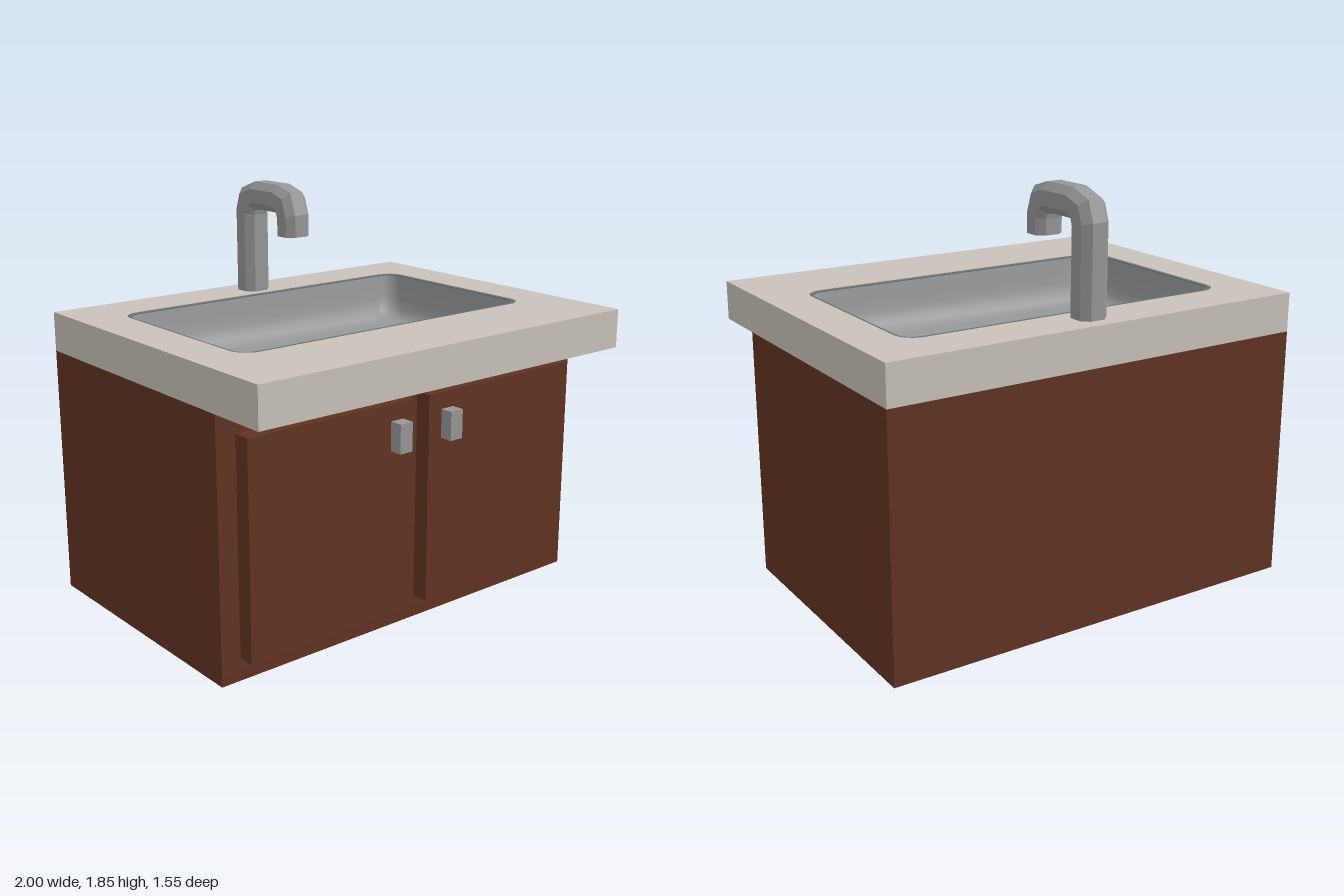
import * as THREE from 'three';

const mat = (name, color) => new THREE.MeshStandardMaterial({ name, color, side: THREE.DoubleSide });

// Counter-clockwise outline of a rectangle with rounded corners
function roundRect(hw, hd, r, cy = 0, seg = 6) {
  const pts = [];
  [[1, 1], [-1, 1], [-1, -1], [1, -1]].forEach(([sx, sy], c) => {
    for (let i = 0; i <= seg; i++) {
      const a = (c + i / seg) * Math.PI / 2;
      pts.push(new THREE.Vector2(sx * (hw - r) + r * Math.cos(a), cy + sy * (hd - r) + r * Math.sin(a)));
    }
  });
  return pts;
}

// Rectangle in x/z with a hole, extruded upwards from y
function slab(outline, hole, y, depth) {
  const shape = new THREE.Shape(outline);
  shape.holes.push(new THREE.Path(hole));
  return new THREE.ExtrudeGeometry(shape, { depth, bevelEnabled: false }).rotateX(-Math.PI / 2).translate(0, y, 0);
}

// Skin through equal-sized rings, closed at the last one
function loft(rings) {
  const n = rings[0].length, pos = [], idx = [];
  rings.forEach(r => r.forEach(p => pos.push(p.x, p.y, p.z)));
  for (let i = 0; i < rings.length - 1; i++) for (let j = 0; j < n; j++) {
    const a = i * n + j, b = i * n + (j + 1) % n;
    idx.push(a, b, a + n, a + n, b, b + n);
  }
  const last = rings[rings.length - 1];
  const c = last.reduce((s, p) => s.add(p), new THREE.Vector3()).divideScalar(n);
  pos.push(c.x, c.y, c.z);
  const base = (rings.length - 1) * n;
  for (let j = 0; j < n; j++) idx.push(rings.length * n, base + j, base + (j + 1) % n);
  const g = new THREE.BufferGeometry();
  g.setAttribute('position', new THREE.Float32BufferAttribute(pos, 3));
  g.setIndex(idx);
  g.computeVertexNormals();
  return g;
}

function faceted(g) {
  const f = g.toNonIndexed();
  f.computeVertexNormals();
  return f;
}

export function createModel() {
  const group = new THREE.Group();
  const wood = mat('brown wood', 0x613322);
  const stone = mat('pale stone', 0xc8c2b9);
  const steel = mat('grey steel', 0x979797);
  const dark = mat('dark steel', 0x6e6e6e);

  const add = (name, geometry, material) => {
    const m = new THREE.Mesh(geometry, material);
    m.name = name;
    group.add(m);
    return m;
  };
  const box = (name, material, x0, x1, y0, y1, z0, z1) =>
    add(name, new THREE.BoxGeometry(x1 - x0, y1 - y0, z1 - z0), material)
      .position.set((x0 + x1) / 2, (y0 + y1) / 2, (z0 + z1) / 2);
  const rect = (x, y0, y1) => [[-x, y0], [x, y0], [x, y1], [-x, y1]].map(p => new THREE.Vector2(...p));

  // Cabinet: floor and hollow walls leave room for the basin
  box('cabinetFloor', wood, -1, 1, 0, 0.05, -0.775, 0.495);
  add('cabinetWalls', slab(rect(1, -0.495, 0.775), rect(0.94, -0.435, 0.715), 0.05, 1.095), wood);

  // Doors and handles
  box('rightDoor', wood, -0.908, -0.05, 0.1, 1.05, 0.495, 0.572);
  box('leftDoor', wood, 0.035, 0.908, 0.1, 1.05, 0.495, 0.572);
  box('rightHandle', steel, -0.18, -0.113, 0.845, 0.975, 0.572, 0.632);
  box('leftHandle', steel, 0.108, 0.176, 0.845, 0.975, 0.572, 0.632);

  // Countertop with basin cut-out and rim
  const cy = 0.078;
  add('countertop', slab(rect(1, -0.775, 0.775), roundRect(0.797, 0.468, 0.09, cy), 1.145, 0.177), stone);
  add('basinRim', slab(roundRect(0.797, 0.468, 0.09, cy), roundRect(0.781, 0.443, 0.075, cy), 1.311, 0.008), dark);

  // Basin: rounded rectangles shrinking towards the floor [inset, y]
  const steps = [[0, 1.316], [0.008, 1.26], [0.016, 1.2], [0.03, 1.15], [0.055, 1.12], [0.09, 1.106], [0.13, 1.104]];
  add('basin', loft(steps.map(([d, y]) =>
    roundRect(0.781 - d, 0.443 - d, 0.075 + d * 0.3, cy).map(p => new THREE.Vector3(p.x, y, -p.y)))), steel);

  // Drain ring and plug
  const ringProfile = [[0.05, 0], [0.067, 0], [0.067, 0.025], [0.05, 0.025], [0.05, 0]].map(p => new THREE.Vector2(...p));
  const ring = add('drainRing', faceted(new THREE.LatheGeometry(ringProfile, 8)), dark);
  const plug = add('drainPlug', new THREE.CylinderGeometry(0.051, 0.051, 0.009, 8), dark);
  ring.position.set(0, 1.104, -cy);
  plug.position.set(0, 1.108, -cy);
  ring.rotation.y = plug.rotation.y = Math.PI / 8;

  // Faucet: octagonal sections between outer and inner bend [z, y, z, y]
  const bend = [
    [-0.71, 1.32, -0.58, 1.32], [-0.71, 1.72, -0.58, 1.69], [-0.677, 1.81, -0.575, 1.712],
    [-0.57, 1.848, -0.555, 1.72], [-0.39, 1.848, -0.415, 1.72], [-0.298, 1.82, -0.39, 1.712],
    [-0.262, 1.72, -0.385, 1.69], [-0.262, 1.62, -0.385, 1.62]];
  const octagon = [[1, -0.5], [1, 0.5], [0.5, 1], [-0.5, 1], [-1, 0.5], [-1, -0.5], [-0.5, -1], [0.5, -1]];
  add('faucet', faceted(loft(bend.map(([oz, oy, iz, iy]) => octagon.map(([u, v]) => {
    const t = (1 - v) / 2;
    return new THREE.Vector3(u * 0.067, oy + (iy - oy) * t, oz + (iz - oz) * t);
  })))), steel);

  return group;
}
